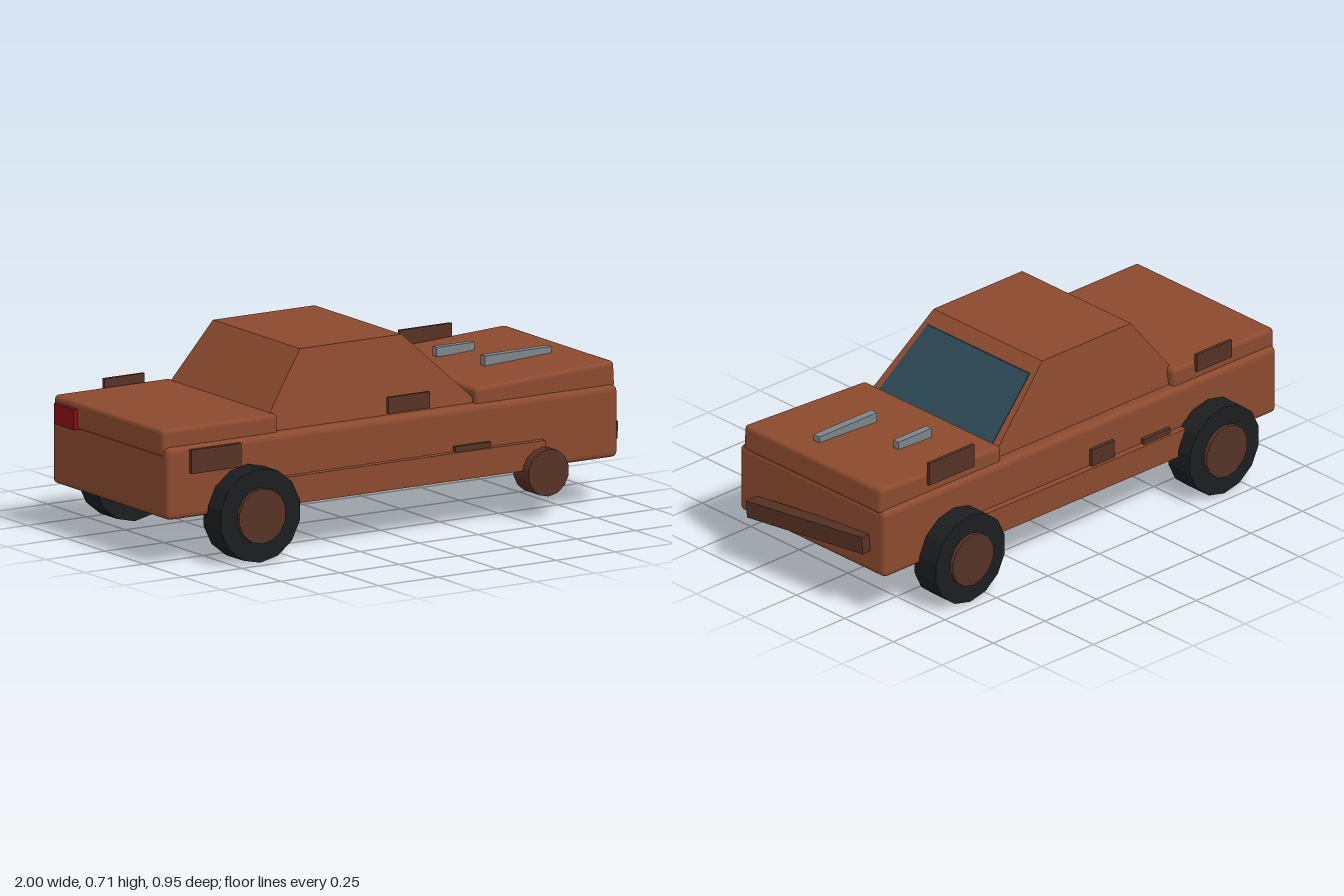
import * as THREE from 'three';
import { RoundedBoxGeometry } from 'three/addons/geometries/RoundedBoxGeometry.js';

const paint = (color) => new THREE.MeshStandardMaterial({ color, flatShading: true });

export function createModel() {
  const car = new THREE.Group();
  car.name = 'car';
  const body = paint(0x8b4a2e), rust = paint(0x553225), tyre = paint(0x1b1d1f);
  const glass = paint(0x2a4652), metal = paint(0x7d858a), red = paint(0x8b1016);

  const add = (name, geometry, material) => {
    const mesh = new THREE.Mesh(geometry, material);
    mesh.name = name;
    car.add(mesh);
    return mesh;
  };
  // Box given by its extents; a radius rounds the edges.
  const box = (name, material, [x0, x1], [y0, y1], [z0, z1], radius = 0) => {
    const size = [x1 - x0, y1 - y0, z1 - z0];
    const geometry = radius ? new RoundedBoxGeometry(...size, 2, radius) : new THREE.BoxGeometry(...size);
    const mesh = add(name, geometry, material);
    mesh.position.set((x0 + x1) / 2, (y0 + y1) / 2, (z0 + z1) / 2);
    return mesh;
  };
  // Box whose bottom and top rectangles differ: { y, x: [rear, front], z: half width }.
  const taper = (name, material, bottom, top) => {
    const geometry = new THREE.BoxGeometry(2, 2, 2);
    const p = geometry.attributes.position;
    for (let i = 0; i < p.count; i++) {
      const level = p.getY(i) > 0 ? top : bottom;
      p.setXYZ(i, level.x[p.getX(i) > 0 ? 1 : 0], level.y, level.z * p.getZ(i));
    }
    geometry.computeVertexNormals();
    return add(name, geometry, material);
  };

  // Body shell
  box('lowerBody', body, [-0.98, 0.925], [0.175, 0.435], [-0.375, 0.375], 0.02);
  box('trunk', body, [-0.985, -0.497], [0.40, 0.50], [-0.355, 0.35], 0.015);
  const hood = box('hood', body, [0.338, 0.926], [0.407, 0.505], [-0.355, 0.352], 0.015);
  hood.rotation.z = 0.05;
  for (const s of [-1, 1]) {
    box('sideSkirt', body, [-0.515, 0.6], [0.18, 0.28], [s * 0.385 - 0.015, s * 0.385 + 0.015]);
  }

  // Cabin and windscreen
  taper('cabin', body, { y: 0.42, x: [-0.572, 0.376], z: 0.332 }, { y: 0.707, x: [-0.36, 0.07], z: 0.28 });
  taper('windscreen', glass, { y: 0.473, x: [0.29, 0.324], z: 0.292 }, { y: 0.667, x: [0.083, 0.117], z: 0.263 });

  // Wheels; the front one on the +z side has lost its tyre
  const disc = (name, material, radius, x, z0, z1) => {
    const mesh = add(name, new THREE.CylinderGeometry(radius, radius, Math.abs(z1 - z0), 14), material);
    mesh.rotation.x = Math.PI / 2;
    mesh.position.set(x, 0.171, (z0 + z1) / 2);
  };
  for (const [x, s] of [[-0.645, 1], [-0.645, -1], [0.588, -1]]) {
    disc('tyre', tyre, 0.171, x, s * 0.348, s * 0.459);
    disc('wheelHub', rust, 0.1, x, s * 0.34, s * 0.474);
  }
  disc('bareHub', rust, 0.086, 0.588, 0.34, 0.438);

  // Hanging front bumper and the remaining tail lamp
  const bumper = box('frontBumper', rust, [0.925, 0.98], [0.236, 0.3], [-0.3, 0.264]);
  bumper.rotation.set(0.088, 0.06, 0);
  box('tailLamp', red, [-1, -0.97], [0.4, 0.475], [-0.33, -0.2]);

  // Rust patches: x range, y range, z range
  const patches = [
    [[-0.89, -0.68], [0.338, 0.424], [0.37, 0.39]],
    [[-0.06, 0.117], [0.455, 0.514], [0.38, 0.392]],
    [[0.225, 0.375], [0.25, 0.3], [0.37, 0.39]],
    [[-0.77, -0.6], [0.462, 0.53], [-0.366, -0.354]],
    [[0.48, 0.7], [0.465, 0.552], [-0.367, -0.355]],
    [[-0.18, -0.07], [0.265, 0.345], [-0.388, -0.37]],
    [[-0.45, -0.32], [0.25, 0.3], [-0.39, -0.37]],
  ];
  for (const extents of patches) box('rustPatch', rust, ...extents);

  // Bare metal scratches on the hood and underside
  box('hoodScratch', metal, [0.48, 0.64], [0.5, 0.534], [-0.145, -0.118]);
  box('hoodScratch', metal, [0.54, 0.82], [0.5, 0.537], [0.072, 0.102]);
  box('undersideScratch', metal, [-0.91, -0.72], [0.16, 0.185], [0.185, 0.235]);

  return car;
}
